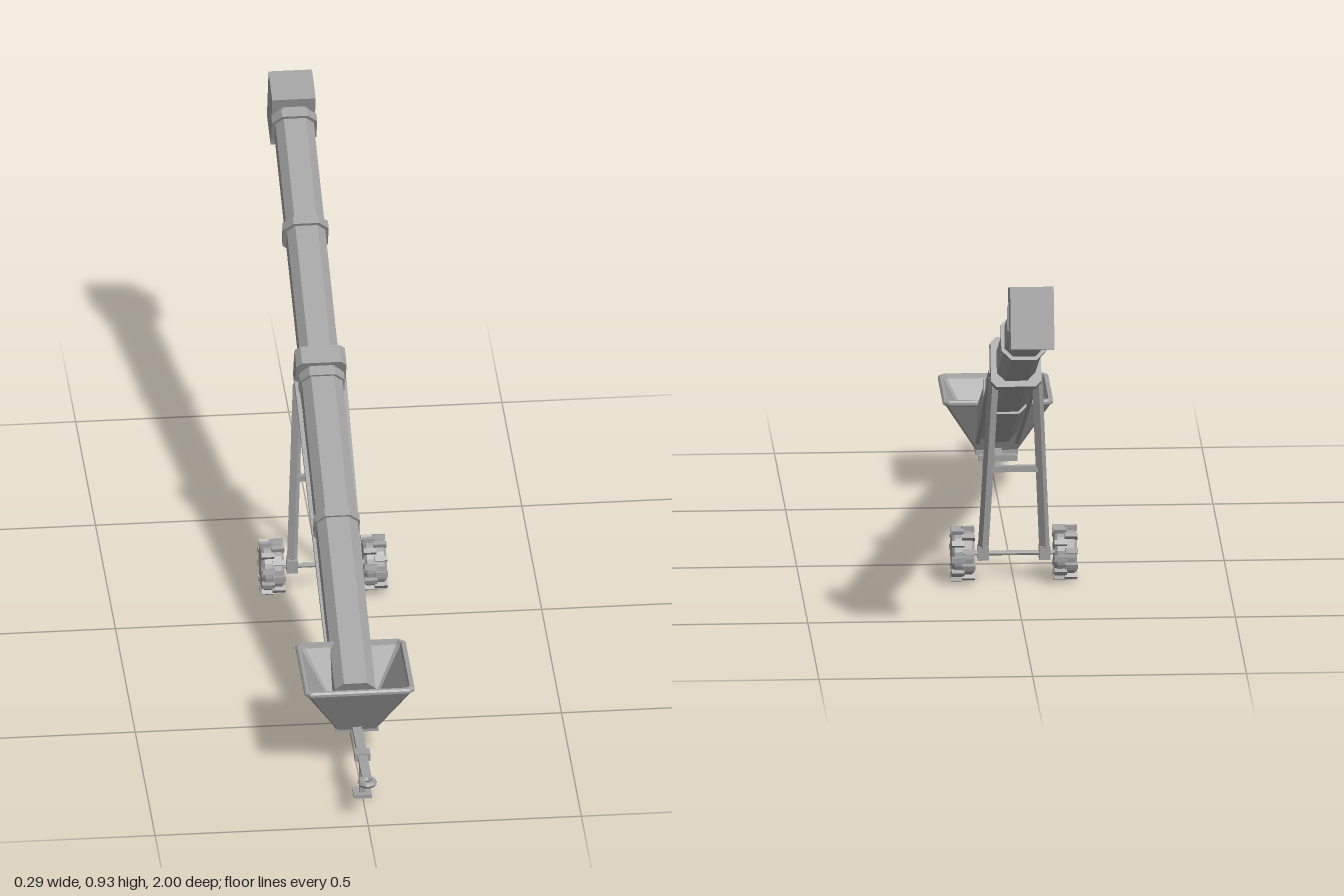
import * as THREE from 'three';

const steel = new THREE.MeshStandardMaterial({ color: 0xa0a0a0, flatShading: true, side: THREE.DoubleSide });
steel.name = 'grey steel';

function add(parent, name, geometry, x = 0, y = 0, z = 0) {
  const mesh = new THREE.Mesh(geometry, steel);
  mesh.name = name;
  mesh.position.set(x, y, z);
  parent.add(mesh);
  return mesh;
}
const box = (w, h, d) => new THREE.BoxGeometry(w, h, d);

// Chamfered square section extruded along z, centred on its length
function octagonPrism(half, flat, length, hole = 0) {
  const trace = (p, h, f) => {
    p.moveTo(h, -f); p.lineTo(h, f); p.lineTo(f, h); p.lineTo(-f, h);
    p.lineTo(-h, f); p.lineTo(-h, -f); p.lineTo(-f, -h); p.lineTo(f, -h); p.closePath();
    return p;
  };
  const shape = trace(new THREE.Shape(), half, flat);
  if (hole) shape.holes.push(trace(new THREE.Path(), hole, hole * 0.58));
  return new THREE.ExtrudeGeometry(shape, { depth: length, bevelEnabled: false }).translate(0, 0, -length / 2);
}

// Square bar between two points
function bar(parent, name, a, b, w, d = w) {
  const from = new THREE.Vector3(...a), to = new THREE.Vector3(...b);
  const mesh = add(parent, name, box(w, from.distanceTo(to), d));
  mesh.position.copy(from).add(to).multiplyScalar(0.5);
  mesh.quaternion.setFromUnitVectors(new THREE.Vector3(0, 1, 0), to.sub(from).normalize());
  return mesh;
}

// Loft through horizontal chamfered rectangles [halfX, halfZ, chamfer, y]
function loftRectangles(rings) {
  const loops = rings.map(([x, z, c, y]) => [
    [-x + c, y, z], [x - c, y, z], [x, y, z - c], [x, y, -z + c],
    [x - c, y, -z], [-x + c, y, -z], [-x, y, -z + c], [-x, y, z - c]]);
  const pos = [];
  for (let k = 0; k < loops.length - 1; k++) {
    for (let i = 0; i < 8; i++) {
      const j = (i + 1) % 8, a = loops[k], b = loops[k + 1];
      pos.push(...a[i], ...a[j], ...b[j], ...a[i], ...b[j], ...b[i]);
    }
  }
  const g = new THREE.BufferGeometry();
  g.setAttribute('position', new THREE.Float32BufferAttribute(pos, 3));
  g.computeVertexNormals();
  return g;
}

function makeWheel() {
  const wheel = new THREE.Group();
  // Tyre with recessed sides, turned about y then laid along x
  const profile = [[0.034, -0.021], [0.05, -0.026], [0.056, -0.02], [0.056, 0.02], [0.05, 0.026],
    [0.034, 0.021], [0.034, -0.021]].map(([r, y]) => new THREE.Vector2(r, y));
  add(wheel, 'tyre', new THREE.LatheGeometry(profile, 20).rotateZ(-Math.PI / 2));
  add(wheel, 'rim', new THREE.CylinderGeometry(0.035, 0.035, 0.022, 16).rotateZ(Math.PI / 2));
  add(wheel, 'hub', new THREE.CylinderGeometry(0.013, 0.013, 0.036, 10).rotateZ(Math.PI / 2));
  // Staggered tread lugs
  for (let i = 0; i < 20; i++) {
    const a = (i / 20) * Math.PI * 2, side = i % 2 ? 1 : -1;
    const lug = add(wheel, 'treadLug', box(0.03, 0.013, 0.012),
      side * 0.0125, Math.cos(a) * 0.0585, Math.sin(a) * 0.0585);
    lug.rotation.x = a;
  }
  return wheel;
}

export function createModel() {
  const model = new THREE.Group();
  model.name = 'grainConveyor';

  // Inclined tube with its bands and centre collar
  const conveyor = new THREE.Group();
  conveyor.name = 'conveyor';
  conveyor.position.set(0, 0.545, -0.22);
  conveyor.rotation.x = 0.4145;
  model.add(conveyor);
  add(conveyor, 'lowerTube', octagonPrism(0.048, 0.027, 0.96), 0, 0, 0.48);
  add(conveyor, 'upperTube', octagonPrism(0.045, 0.026, 0.74), 0, 0, -0.37);
  for (const z of [0.459, 0.045, -0.4, -0.715]) {
    add(conveyor, 'band', octagonPrism(0.053, 0.03, 0.022, 0.043), 0, 0, z);
  }
  add(conveyor, 'collar', octagonPrism(0.059, 0.046, 0.05));

  // Discharge head
  const head = add(model, 'dischargeHead', box(0.102, 0.146, 0.096), 0, 0.85, -0.937);
  head.rotation.x = 0.28;

  // Open hopper with a rim and bottom plate
  add(model, 'hopper', loftRectangles([
    [0.046, 0.046, 0.004, 0.1], [0.122, 0.117, 0.008, 0.23], [0.129, 0.126, 0.012, 0.235],
    [0.129, 0.126, 0.012, 0.241], [0.125, 0.122, 0.012, 0.245], [0.118, 0.115, 0.008, 0.245],
    [0.115, 0.112, 0.008, 0.235], [0.042, 0.042, 0.004, 0.108]]), 0, 0, 0.67);
  add(model, 'hopperFloor', box(0.1, 0.01, 0.1), 0, 0.1, 0.667);

  // Drawbar, hitch eye and parking stand
  add(model, 'drawbar', box(0.022, 0.014, 0.41), 0, 0.104, 0.755);
  add(model, 'rearCrossbar', box(0.09, 0.014, 0.022), 0, 0.104, 0.56);
  const eye = new THREE.TorusGeometry(0.015, 0.008, 6, 14);
  add(model, 'hitchEye', eye.rotateX(Math.PI / 2), 0, 0.104, 0.977);
  add(model, 'standClamp', box(0.036, 0.02, 0.028), 0, 0.104, 0.845);
  add(model, 'standPost', box(0.014, 0.1, 0.014), 0, 0.053, 0.845);
  add(model, 'standFoot', box(0.042, 0.008, 0.042), 0, 0.004, 0.845);

  // Axle, legs, side braces and wheels
  const axle = new THREE.CylinderGeometry(0.006, 0.006, 0.25, 8).rotateZ(Math.PI / 2);
  add(model, 'axle', axle, 0, 0.066, -0.145);
  bar(model, 'legCrossbar', [-0.062, 0.28, -0.182], [0.062, 0.28, -0.182], 0.014);
  for (const s of [1, -1]) {
    bar(model, 'leg', [s * 0.051, 0.51, -0.222], [s * 0.072, 0.07, -0.148], 0.018);
    add(model, 'axleBlock', box(0.026, 0.032, 0.03), s * 0.072, 0.068, -0.147);
    bar(model, 'sideBrace', [s * 0.056, 0.525, -0.21], [s * 0.046, 0.13, 0.6], 0.01);
    const wheel = makeWheel();
    wheel.name = s > 0 ? 'leftWheel' : 'rightWheel';
    wheel.position.set(s * 0.12, 0.066, -0.145);
    model.add(wheel);
  }
  return model;
}
